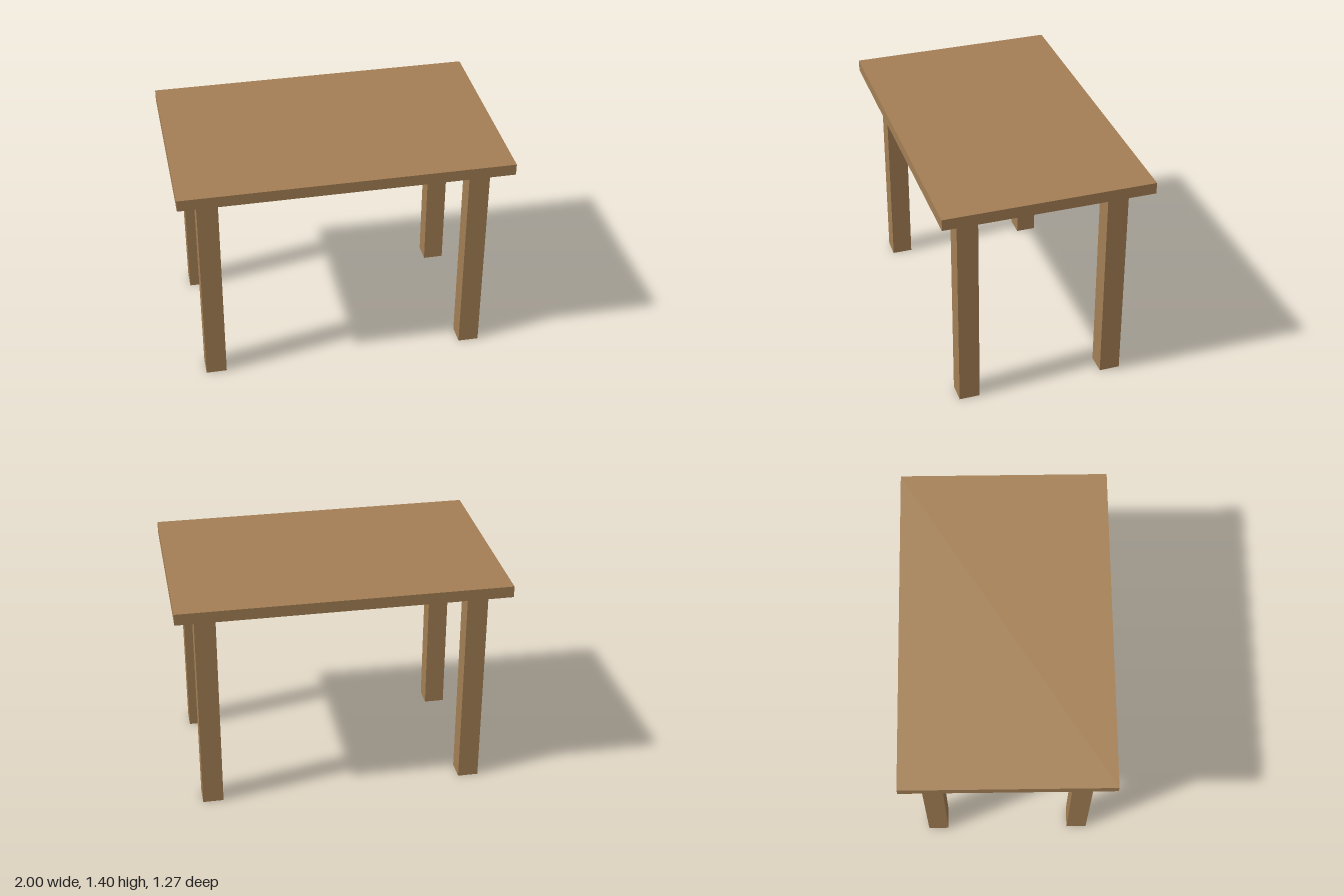
import * as THREE from 'three';

export function createModel() {
  const table = new THREE.Group();
  table.name = 'table';
  const wood = new THREE.MeshStandardMaterial({ color: 0xa47f55, flatShading: true });

  const height = 1.4, topThickness = 0.07, legWidth = 0.127;
  const legHeight = height - topThickness;

  // Flat rectangular slab
  const top = new THREE.Mesh(new THREE.BoxGeometry(2, topThickness, 1.27), wood);
  top.name = 'tableTop';
  top.position.y = height - topThickness / 2;
  table.add(top);

  // Four square legs, set in from the corners
  const legGeometry = new THREE.BoxGeometry(legWidth, legHeight, legWidth);
  for (const [xName, x] of [['Left', 1], ['Right', -1]]) {
    for (const [zName, z] of [['front', 1], ['back', -1]]) {
      const leg = new THREE.Mesh(legGeometry, wood);
      leg.name = `${zName}${xName}Leg`;
      leg.position.set(x * 0.818, legHeight / 2, z * 0.455);
      table.add(leg);
    }
  }

  return table;
}
